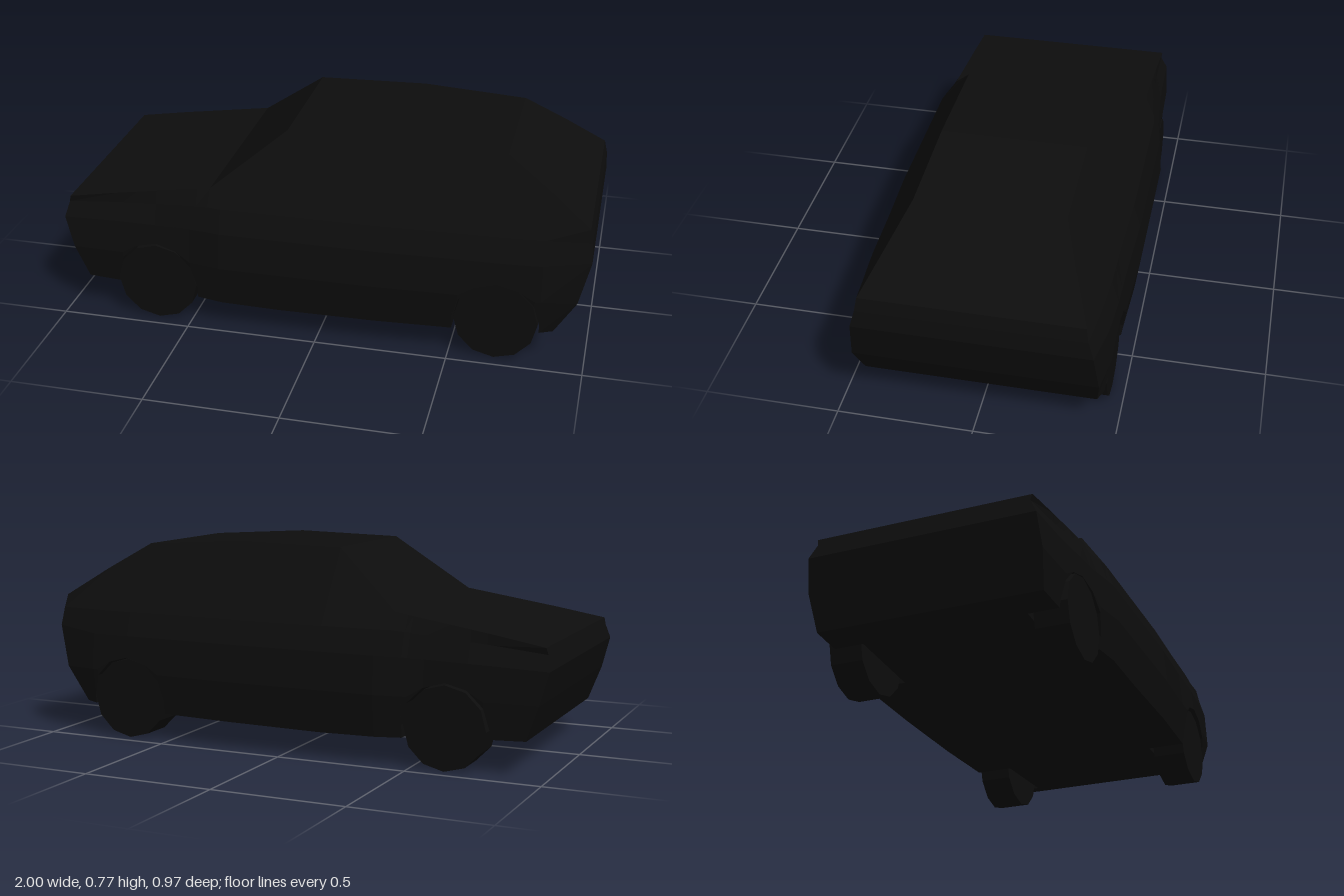
import * as THREE from 'three';

const paint = new THREE.MeshStandardMaterial({ color: 0x0d0d0d, flatShading: true });
paint.name = 'black';

// Piecewise linear lookup through [key, value] points
function lerpTable(table, k) {
  if (k <= table[0][0]) return table[0][1];
  for (let i = 1; i < table.length; i++) {
    const [k0, v0] = table[i - 1], [k1, v1] = table[i];
    if (k <= k1) return v0 + (v1 - v0) * (k - k0) / (k1 - k0);
  }
  return table[table.length - 1][1];
}

// Lengthwise profiles (key is x)
const topY = [[-1, 0.46], [-0.42, 0.55], [-0.15, 0.76], [0.27, 0.77], [0.67, 0.745], [1, 0.54]];
const topZ = [[-1, 0.405], [-0.42, 0.395], [-0.15, 0.272], [0.67, 0.272], [1, 0.395]];
const bottomY = [[-1, 0.13], [-0.79, 0.125], [-0.47, 0.107], [-0.2, 0.1], [0.51, 0.107], [0.83, 0.122], [1, 0.125]];
const shoulderY = [[-1, 0.435], [-0.42, 0.49], [1, 0.49]];
const creaseY = [[-1, 0.38], [-0.42, 0.4], [0.83, 0.4], [1, 0.42]];
const halfWidth = [[-1, 0.435], [-0.79, 0.44], [-0.52, 0.46], [-0.37, 0.485], [0.22, 0.485],
  [0.47, 0.475], [0.7, 0.47], [0.95, 0.45], [1, 0.44]];

// Upright profiles (key is y): side bulge, nose and tail outlines
const sideZ = [[0.11, 0.465], [0.26, 0.485], [0.4, 0.473], [0.49, 0.445]];
const noseX = [[0.13, -0.92], [0.25, -0.965], [0.38, -1], [0.46, -0.98]];
const tailX = [[0.125, 0.88], [0.26, 0.96], [0.42, 1], [0.47, 1], [0.54, 0.985]];

const wheelXs = [-0.63, 0.67];
const axleY = 0.157, wheelR = 0.155, archR = 0.16;

// One closed cross-section; archY lifts the sill over a wheel
function section(u, archY) {
  const yb = lerpTable(bottomY, u), yt = lerpTable(topY, u);
  const ya = archY ?? yb;
  const s = lerpTable(halfWidth, u) / 0.485;
  const side = y => [lerpTable(sideZ, y) * s, y];
  const half = [[0.31, yb], [0.31, ya], side(ya), side(Math.max(0.26, ya)),
    side(lerpTable(creaseY, u)), [0.445 * s, lerpTable(shoulderY, u)], [lerpTable(topZ, u), yt]];
  const place = ([z, y]) => {
    const x = u === -1 ? lerpTable(noseX, y) : u === 1 ? lerpTable(tailX, y) : u;
    return [x, y, z];
  };
  const left = half.map(place);
  const right = left.map(([x, y, z]) => [x, y, -z]).reverse();
  return [...left, ...right];
}

// Sections through a twelve-sided wheel arch
function archSections(cx) {
  const list = [section(cx - archR)];
  for (let k = -3; k <= 3; k++) {
    const a = k * Math.PI / 6;
    list.push(section(cx + archR * Math.sin(a), axleY + archR * Math.cos(a)));
  }
  list.push(section(cx + archR));
  return list;
}

function bodyGeometry() {
  const plain = xs => xs.map(x => section(x));
  const rings = [
    ...plain([-1]),
    ...archSections(wheelXs[0]),
    ...plain([-0.42, -0.37, -0.15, 0.22, 0.27, 0.47]),
    ...archSections(wheelXs[1]),
    ...plain([1]),
  ];
  const pos = [];
  const quad = (a, b, c, d) => pos.push(...a, ...b, ...c, ...a, ...c, ...d);
  const n = rings[0].length;

  // Skin between neighbouring sections
  for (let i = 0; i < rings.length - 1; i++) {
    const p = rings[i], q = rings[i + 1];
    for (let j = 0; j < n; j++) {
      const k = (j + 1) % n;
      quad(p[j], q[j], q[k], p[k]);
    }
  }
  // Nose and tail panels
  const nose = rings[0], tail = rings[rings.length - 1];
  for (let j = 0; j < n / 2 - 1; j++) {
    const m = n - 1 - j;
    quad(nose[j], nose[j + 1], nose[m - 1], nose[m]);
    quad(tail[m], tail[m - 1], tail[j + 1], tail[j]);
  }
  const geo = new THREE.BufferGeometry();
  geo.setAttribute('position', new THREE.Float32BufferAttribute(pos, 3));
  geo.computeVertexNormals();
  return geo;
}

export function createModel() {
  const car = new THREE.Group();
  car.name = 'car';

  const body = new THREE.Mesh(bodyGeometry(), paint);
  body.name = 'body';
  car.add(body);

  // Four wheels
  const wheelGeo = new THREE.CylinderGeometry(wheelR, wheelR, 0.125, 12);
  wheelGeo.rotateX(Math.PI / 2);
  wheelXs.forEach((x, i) => {
    for (const side of [1, -1]) {
      const wheel = new THREE.Mesh(wheelGeo, paint);
      wheel.name = (i === 0 ? 'hoodEnd' : 'tailEnd') + 'Wheel';
      wheel.position.set(x, wheelR, side * 0.3875);
      car.add(wheel);
    }
  });
  return car;
}
